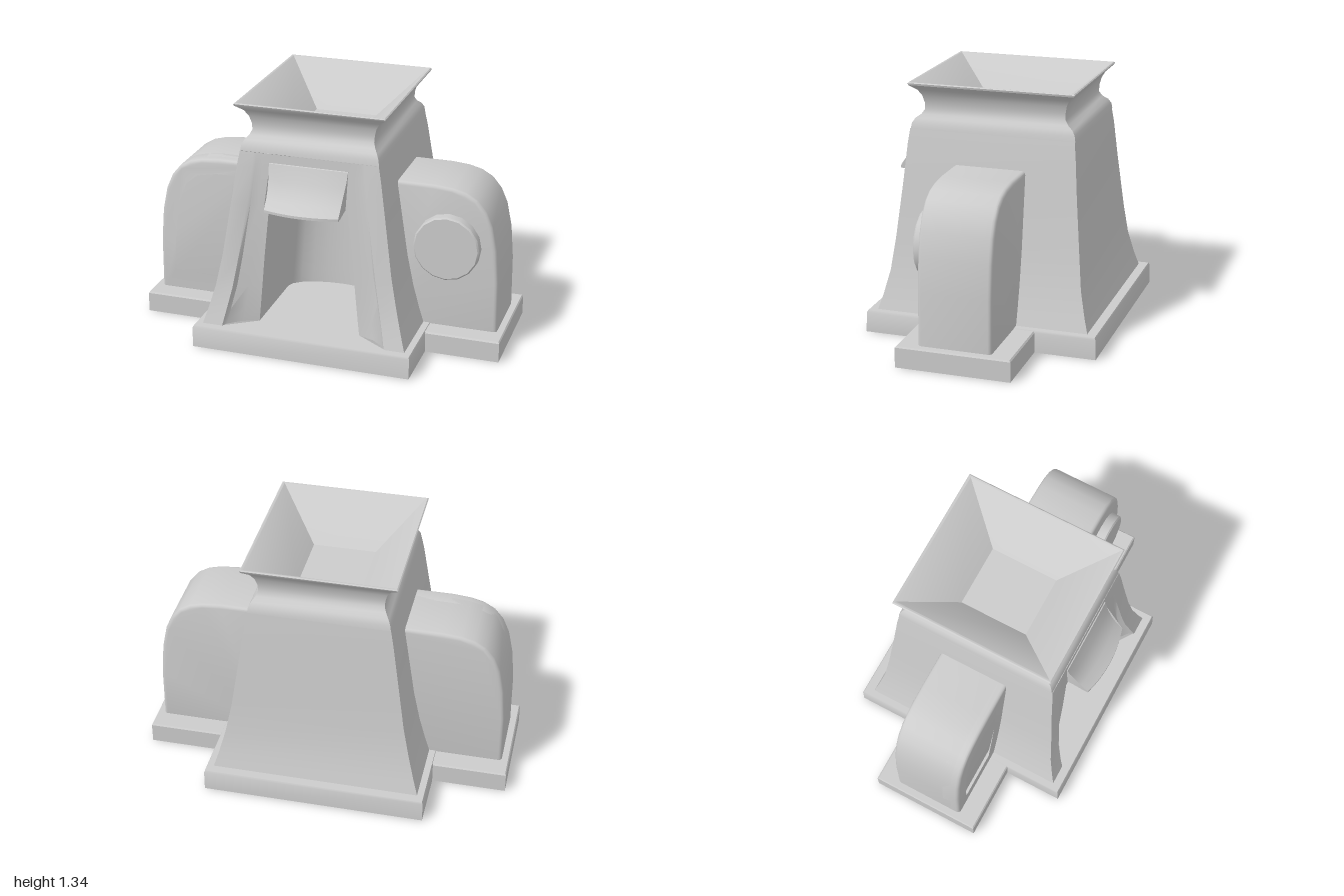
import * as THREE from 'three';
import { toCreasedNormals } from 'three/addons/utils/BufferGeometryUtils.js';

const solid = new THREE.MeshStandardMaterial({ color: 0xcccccc });
const sheet = new THREE.MeshStandardMaterial({ color: 0xcccccc, side: THREE.DoubleSide });

// Skin a list of equal-length cross-sections; optionally cap both or only the last one
function loft(rows, { closed = true, caps = [] } = {}) {
  const n = rows[0].length, index = [];
  for (let r = 0; r < rows.length - 1; r++) {
    for (let i = 0; i < (closed ? n : n - 1); i++) {
      const j = (i + 1) % n, a = r * n, b = a + n;
      index.push(a + i, a + j, b + j, a + i, b + j, b + i);
    }
  }
  for (const r of caps) for (let i = 1; i < n - 1; i++) index.push(r * n, r * n + i, r * n + i + 1);
  const g = new THREE.BufferGeometry();
  g.setAttribute('position', new THREE.Float32BufferAttribute(rows.flat(2), 3));
  g.setIndex(index);
  return toCreasedNormals(g, 0.6);
}

const rect = (x0, x1, z0, z1, y) => [[x0, y, z1], [x1, y, z1], [x1, y, z0], [x0, y, z0]];
const toShape = pts => new THREE.Shape(pts.map(p => new THREE.Vector2(p[0], p[1])));

// Flat horizontal plate from [x, z] points
function plate(pts, y, hole) {
  const flip = list => list.map(([x, z]) => [x, -z]);
  const shape = toShape(flip(pts));
  if (hole) shape.holes.push(toShape(flip(hole)));
  return new THREE.ShapeGeometry(shape).rotateX(-Math.PI / 2).translate(0, y, 0);
}

// Block with rounded edges, extruded between two z planes
function block(pts, z0, z1, hole) {
  const shape = toShape(pts), b = 0.02;
  if (hole) shape.holes.push(toShape(hole));
  const g = new THREE.ExtrudeGeometry(shape, {
    depth: z1 - z0 - 2 * b, bevelThickness: b, bevelSize: b, bevelOffset: -b, bevelSegments: 3,
  });
  return toCreasedNormals(g.translate(0, 0, z0 + b), 0.6);
}

// Tower heights: [y, half width, half depth, flange inner x, alcove edge x, alcove edge z]
const TOWER = [
  [0.12, 0.56, 0.578, 0.45, 0.28, 0.46],
  [0.2, 0.535, 0.555, 0.433, 0.272, 0.46],
  [0.33, 0.5, 0.525, 0.405, 0.26, 0.46],
  [0.5, 0.465, 0.505, 0.375, 0.245, 0.46],
  [0.8, 0.42, 0.475, 0.33, 0.215, 0.455],
  [1.0, 0.39, 0.458, 0.305, 0.2, 0.45],
  [1.08, 0.375, 0.448, 0.3, 0.2, 0.448],
];

// Alcove plan from one front edge round the curved back to the other
function alcovePlan(x, z) {
  const pts = [[x, z], [x, 0]];
  for (let i = 1; i < 10; i++) {
    const a = (i / 10) * Math.PI;
    pts.push([x * Math.cos(a), -0.12 * Math.sin(a)]);
  }
  pts.push([-x, 0], [-x, z]);
  return pts;
}

export function createModel() {
  const model = new THREE.Group();
  const add = (name, geometry, material = solid) => {
    const m = new THREE.Mesh(geometry, material);
    m.name = name;
    model.add(m);
    return m;
  };

  // Hollow centre base: walls, ledge around the tower, alcove floor
  add('baseWalls', loft([
    rect(-0.6, 0.6, -0.635, 0.632, 0), rect(-0.6, 0.6, -0.632, 0.627, 0.11), rect(-0.595, 0.595, -0.627, 0.622, 0.12),
  ]), sheet);
  const ring = (x, z0, z1) => [[-x, z1], [x, z1], [x, z0], [-x, z0]];
  add('baseLedge', plate(ring(0.595, -0.627, 0.622), 0.12, ring(0.555, -0.573, 0.573)), sheet);
  add('alcoveFloor', plate([[0.45, 0.573], ...alcovePlan(0.28, 0.46), [-0.45, 0.573]], 0.12), sheet);

  // Tower skin, from one alcove edge round the back to the other
  add('tower', loft(TOWER.map(([y, hx, hz, fx, ax, az]) => {
    const step = Math.min(0.03, (hz - az) * 0.5);
    const half = [
      [ax, y, az],
      [ax + (fx - ax) * 0.5, y, az + (hz - step - az) * 0.35],
      [fx - 0.015, y, hz - step],
      [fx, y, hz],
      [hx, y, hz],
      [hx, y, -hz],
    ];
    return [...half, ...half.map(([x, yy, z]) => [-x, yy, z]).reverse()];
  }), { closed: false }), sheet);

  // Wall above the alcove opening
  add('frontWall', loft(TOWER.slice(4).map(([y, , , , ax, az]) => [[-ax, y, az], [ax, y, az]]), { closed: false }), sheet);

  // Alcove walls and its ceiling, which dips toward the back
  add('alcoveWalls', loft(TOWER.slice(0, 5).map(([y, , , , ax, az]) =>
    alcovePlan(ax, az).map(([x, z]) => [x, y, z])), { closed: false }), sheet);
  const ceiling = plate(alcovePlan(0.225, 0.455), 0.8);
  const cp = ceiling.attributes.position;
  for (let i = 0; i < cp.count; i++) cp.setY(i, 0.8 - (0.455 - cp.getZ(i)) * 0.12);
  ceiling.computeVertexNormals();
  add('alcoveCeiling', ceiling, sheet);

  // Shoulder, neck, flared rim and the funnel inside: [half width, half depth, y]
  add('hopper', loft([
    [0.375, 0.448, 1.08], [0.37, 0.443, 1.11], [0.358, 0.428, 1.135], [0.34, 0.4, 1.155], [0.329, 0.383, 1.18],
    [0.332, 0.383, 1.215], [0.343, 0.392, 1.255], [0.365, 0.411, 1.29], [0.403, 0.446, 1.32],
    [0.406, 0.45, 1.33], [0.4, 0.445, 1.335], [0.39, 0.435, 1.333], [0.17, 0.188, 1.12],
  ].map(([x, z, y]) => rect(-x, x, -z - 0.003, z - 0.003, y)), { caps: [12] }), sheet);

  // Curved hood over the alcove, with a bowed lip: profile as [z, y]
  const hood = [[0.43, 1.04], [0.455, 1.03], [0.485, 0.95], [0.515, 0.9], [0.55, 0.86],
    [0.605, 0.82], [0.605, 0.806], [0.57, 0.805], [0.5, 0.817], [0.43, 0.825]];
  const hoodRows = [];
  for (let i = 0; i <= 8; i++) {
    const t = i / 4 - 1;
    hoodRows.push(hood.map(([z, y]) => [
      t * (0.2 + (y - 0.8) * 0.06), y, z - 0.03 * t * t * Math.max(0, (z - 0.45) / 0.155),
    ]));
  }
  add('hood', loft(hoodRows, { caps: [0, 8] }), sheet);

  // Rounded side housings, each on its own hollow base
  const outline = [[0.36, 0.1], [0.96, 0.1], [0.957, 0.4], [0.942, 0.58], [0.915, 0.71], [0.88, 0.79],
    [0.83, 0.85], [0.77, 0.885], [0.7, 0.903], [0.6, 0.912], [0.36, 0.912]];
  const windowHole = [[0.895, 0.205], [0.89, 0.4], [0.865, 0.63], [0.81, 0.765], [0.735, 0.825],
    [0.62, 0.848], [0.5, 0.848], [0.515, 0.62], [0.55, 0.42], [0.6, 0.205]];
  for (const s of [1, -1]) {
    const side = s > 0 ? 'left' : 'right';
    const mirror = pts => pts.map(([x, y]) => [s * x, y]);
    add(side + 'Housing', block(mirror(outline), -0.195, s > 0 ? 0.198 : 0.168));
    if (s < 0) add('rightWindowFrame', block(mirror(outline), 0.08, 0.198, mirror(windowHole)));
    const walls = (x, z, y) => [[s * 0.48, y, z], [s * x, y, z], [s * x, y, -z], [s * 0.48, y, -z]];
    add(side + 'BaseWalls', loft([walls(1, 0.307, 0), walls(1, 0.307, 0.108), walls(0.994, 0.3, 0.116)],
      { closed: false }), sheet);
    add(side + 'BaseTop', plate(mirror([[0.54, 0.3], [0.994, 0.3], [0.994, -0.3], [0.54, -0.3]]), 0.116), sheet);
  }

  // Round boss on the left housing
  const boss = new THREE.LatheGeometry(
    [[0, 0.075], [0.17, 0.075], [0.178, 0.067], [0.178, 0]].reverse().map(p => new THREE.Vector2(...p)), 16);
  add('boss', toCreasedNormals(boss.rotateX(Math.PI / 2), 0.5)).position.set(0.685, 0.585, 0.18);

  return model;
}
